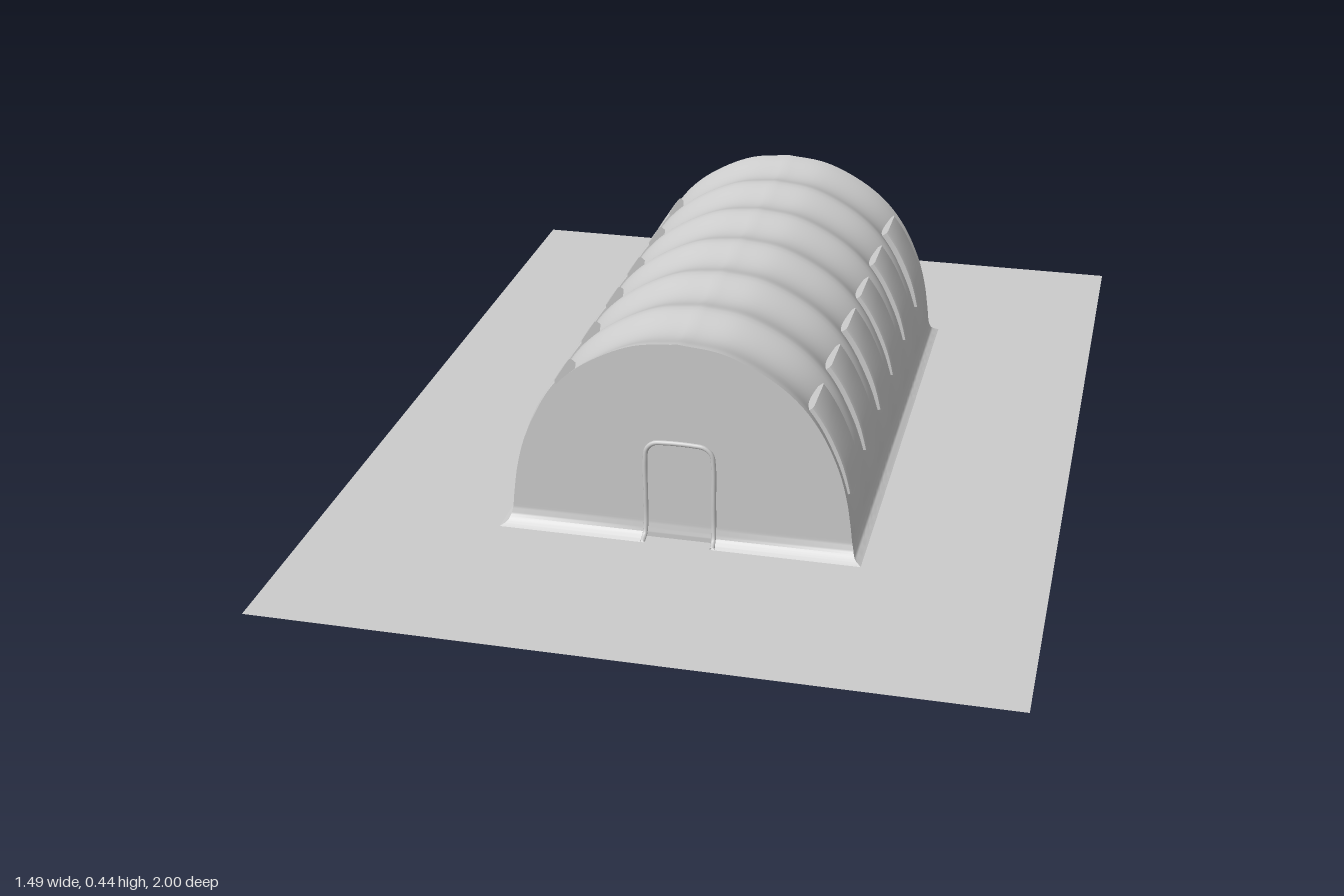
import * as THREE from 'three';
import { toCreasedNormals } from 'three/addons/utils/BufferGeometryUtils.js';

const LEN = 0.55, BAYS = 6;
const mat = new THREE.MeshStandardMaterial({ color: 0xcccccc, side: THREE.DoubleSide });

// half of the arch section, from the flared foot to the crown
const half = new THREE.CatmullRomCurve3([
  [0.373, 0], [0.359, 0.009], [0.352, 0.03], [0.347, 0.07], [0.338, 0.13], [0.319, 0.2],
  [0.281, 0.28], [0.235, 0.338], [0.174, 0.384], [0.09, 0.422], [0, 0.434],
].map(([x, y]) => new THREE.Vector3(x, y, 0)), false, 'centripetal');

// point on the half section pushed out along its normal
function section(t, out = 0) {
  const p = half.getPoint(t), d = half.getTangent(t);
  return [p.x + d.y * out, p.y - d.x * out];
}

// curve parameter at a given height
function atHeight(y) {
  let a = 0, b = 1;
  for (let i = 0; i < 30; i++) {
    const m = (a + b) / 2;
    if (half.getPoint(m).y < y) a = m; else b = m;
  }
  return a;
}

// grid surface from point(i, j) -> [x, y, z]
function surface(name, rows, cols, point) {
  const pos = [], idx = [];
  for (let i = 0; i <= rows; i++) {
    for (let j = 0; j <= cols; j++) {
      pos.push(...point(i, j));
      if (i < rows && j < cols) {
        const a = i * (cols + 1) + j, b = a + cols + 1;
        idx.push(a, b, a + 1, b, b + 1, a + 1);
      }
    }
  }
  const g = new THREE.BufferGeometry();
  g.setAttribute('position', new THREE.Float32BufferAttribute(pos, 3));
  g.setIndex(idx);
  const mesh = new THREE.Mesh(toCreasedNormals(g, 0.7), mat);
  mesh.name = name;
  return mesh;
}

// outward kick of the end walls near the ground
const flare = (y) => 0.027 * Math.pow(Math.max(0, 1 - y / 0.035), 2.2);

// ribbed vault: the skin sinks between ribs, fading out toward the foot
function makeVault() {
  const rows = 120, cols = BAYS * 14;
  return surface('vault', rows, cols, (i, j) => {
    const s = i / rows * 2, side = s <= 1 ? 1 : -1, t = s <= 1 ? s : 2 - s;
    const v = j / cols * 2 - 1, y = half.getPoint(t).y;
    const wave = Math.pow(Math.abs(Math.sin((v + 1) / 2 * BAYS * Math.PI)), 1.5);
    const p = section(t, -0.02 * wave * THREE.MathUtils.smoothstep(y, 0.03, 0.25));
    return [side * p[0], p[1], v * (LEN + flare(y))];
  });
}

// end wall with door frame; the foot flare stops at the doorway
function makeEnd() {
  const end = new THREE.Group();
  const rows = 60;
  end.add(surface('endWall', rows, 5, (i, j) => {
    const [X, y] = section(i / rows);
    const d = Math.min(0.07, X);
    const x = [X, d, d, -d, -d, -X][j];
    return [x, y, LEN + (j === 2 || j === 3 ? 0 : flare(y))];
  }));
  const left = [[0.072, 0.002, 0.577], [0.071, 0.01, 0.561], [0.07, 0.035, 0.552], [0.07, 0.1, 0.551],
    [0.07, 0.175, 0.551], [0.066, 0.201, 0.551], [0.052, 0.214, 0.551], [0.03, 0.217, 0.551]];
  const right = left.map(([x, y, z]) => [-x, y, z]).reverse();
  const path = new THREE.CatmullRomCurve3(
    [...left, ...right].map((p) => new THREE.Vector3(...p)), false, 'centripetal');
  const frame = new THREE.Mesh(new THREE.TubeGeometry(path, 90, 0.005, 8), mat);
  frame.name = 'doorFrame';
  end.add(frame);
  return end;
}

// curved window panel with thin returns to the skin
function makeWindow(z) {
  const t0 = atHeight(0.13), t1 = atHeight(0.31), rows = 14, w = 0.057;
  const zs = [w, w, w - 0.008, 0.008 - w, -w, -w].reverse();
  return surface('window', rows + 2, 5, (i, j) => {
    const k = THREE.MathUtils.clamp((i - 1) / rows, 0, 1);
    const border = i === 0 || i === rows + 2 || j === 0 || j === 5;
    const rim = j === 1 || j === 4;
    const p = section(t0 + (t1 - t0) * k, border ? -0.022 : rim ? 0.002 : 0.005);
    return [p[0], p[1], z + zs[j]];
  });
}

export function createModel() {
  const model = new THREE.Group();
  model.name = 'shelter';

  // ground sheet
  const ground = new THREE.Mesh(new THREE.PlaneGeometry(1.49, 2).rotateX(-Math.PI / 2), mat);
  ground.name = 'ground';
  model.add(ground, makeVault());

  // front and back ends
  for (const [name, turn] of [['frontEnd', 0], ['backEnd', Math.PI]]) {
    const end = makeEnd();
    end.name = name;
    end.rotation.y = turn;
    model.add(end);
  }

  // one window per bay on each side
  for (const [name, turn] of [['leftWindows', 0], ['rightWindows', Math.PI]]) {
    const row = new THREE.Group();
    row.name = name;
    row.rotation.y = turn;
    for (const z of [0.465, 0.275, 0.087, -0.087, -0.275, -0.465]) row.add(makeWindow(z));
    model.add(row);
  }
  return model;
}
